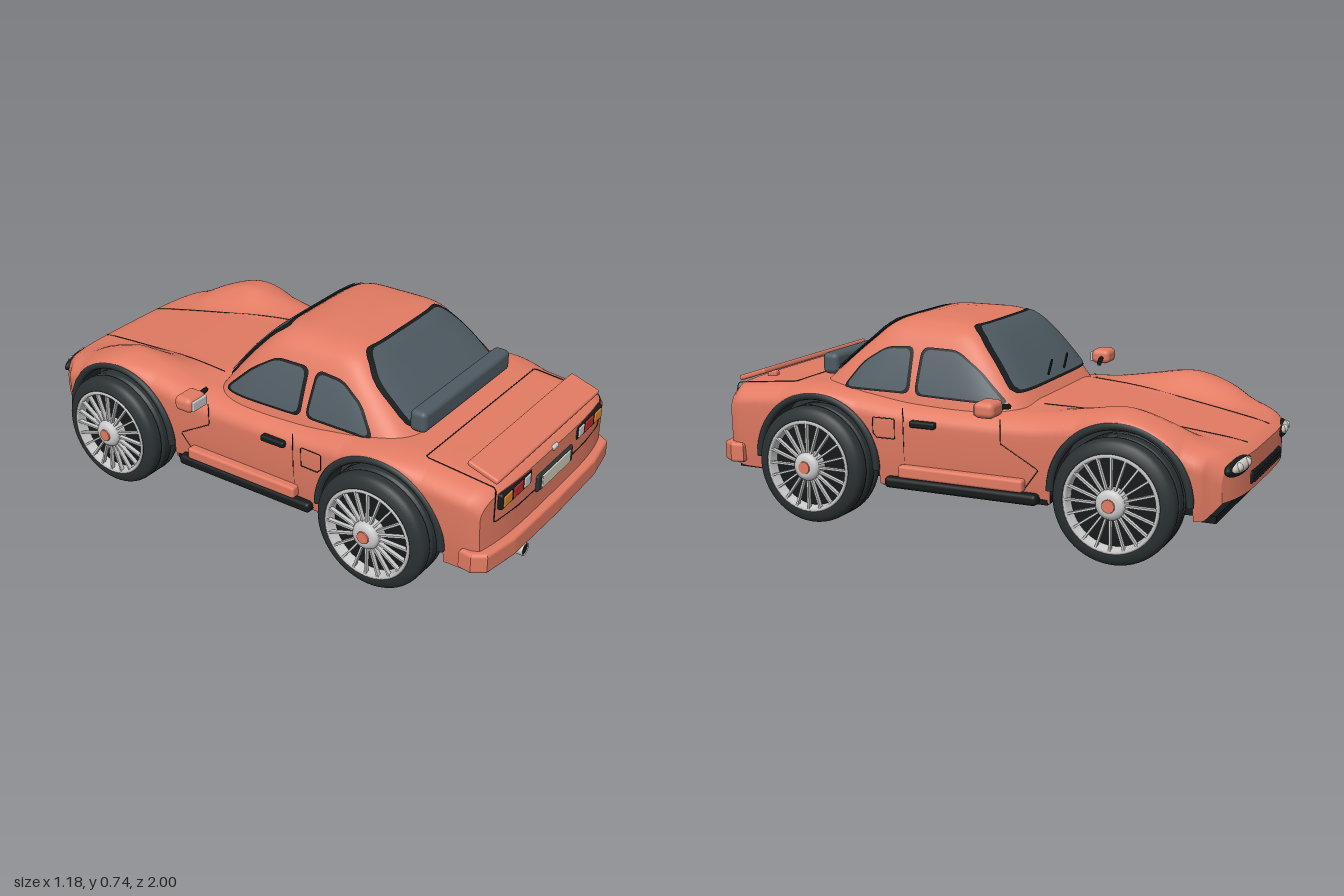
import * as THREE from 'three';
import { RoundedBoxGeometry } from 'three/addons/geometries/RoundedBoxGeometry.js';

const mat = (color, side = THREE.FrontSide) => new THREE.MeshStandardMaterial({ color, side });
const D = THREE.DoubleSide;
const PAINT = mat(0xe27b63, D), DARK = mat(0x2b3234, D), BLACK = mat(0x161a1b, D), GLASS = mat(0x4e5a62, D);
const SILVER = mat(0xbcbcbc, D), CREAM = mat(0xd2cfbc), RED = mat(0xb82e2a), AMBER = mat(0xdd8a28);
const V = (x, y, z) => new THREE.Vector3(x, y, z);
const clamp = THREE.MathUtils.clamp, smooth = THREE.MathUtils.smoothstep;

// Smooth lookup through [key, value] pairs
function curve(p) {
  const slope = i => {
    const a = p[Math.max(i - 1, 0)], b = p[Math.min(i + 1, p.length - 1)];
    return (b[1] - a[1]) / (b[0] - a[0]);
  };
  return k => {
    k = clamp(k, p[0][0], p[p.length - 1][0]);
    let i = 0;
    while (i < p.length - 2 && k > p[i + 1][0]) i++;
    const h = p[i + 1][0] - p[i][0], t = (k - p[i][0]) / h, t2 = t * t, t3 = t2 * t;
    return p[i][1] * (2 * t3 - 3 * t2 + 1) + p[i + 1][1] * (3 * t2 - 2 * t3)
      + h * (slope(i) * (t3 - 2 * t2 + t) + slope(i + 1) * (t3 - t2));
  };
}

// Surface through rows of points
function grid(rows, wrap = false) {
  const n = rows[0].length, idx = [];
  for (let r = 0; r < rows.length - 1; r++) for (let i = 0; i < (wrap ? n : n - 1); i++) {
    const a = r * n + i, b = r * n + (i + 1) % n;
    idx.push(a, b, a + n, b, b + n, a + n);
  }
  const g = new THREE.BufferGeometry().setFromPoints(rows.flat());
  g.setIndex(idx);
  g.computeVertexNormals();
  return g;
}

// Body rules: fender height, centre height, half width and lower edge along z
const fenderY = curve([[-.98, .355], [-.95, .38], [-.85, .41], [-.75, .46], [-.6, .505], [-.45, .488], [-.3, .465], [-.1, .458], [.2, .465], [.4, .487], [.55, .502], [.7, .492], [.85, .477], [.95, .467], [.97, .445]]);
const centreY = curve([[-.98, .355], [-.95, .378], [-.85, .397], [-.7, .42], [-.5, .447], [-.3, .465], [-.2, .475], [.2, .48], [.6, .5], [.75, .486], [.95, .469], [.97, .445]]);
const halfW = curve([[-.98, .4], [-.95, .42], [-.85, .45], [-.7, .46], [-.3, .452], [.2, .455], [.5, .465], [.85, .465], [.95, .46], [.97, .45]]);
const lowY = curve([[-.98, .225], [-.95, .19], [-.88, .165], [.9, .165], [.97, .18]]);
const WHEELS = [-.6, .56], WY = .217, ARCH = .25, CROWN = .34;
const sideX = (z, y) => halfW(z) - .02 * clamp((.4 - y) / .24, 0, 1) ** 2;
const topY = (z, x) => centreY(z) + (fenderY(z) - centreY(z)) * smooth(Math.abs(x), .2, CROWN);
const bend = (x, y, z) => V(x, y, z + .05 * smooth(-z, .86, .98) * (Math.abs(x) / .4) ** 4
  - .035 * smooth(z, .84, .97) * (Math.abs(x) / .46) ** 4);

function halfSection(z) {
  let yb = lowY(z);
  for (const w of WHEELS) if (Math.abs(z - w) <= ARCH + 1e-6)
    yb = WY + Math.sqrt(Math.max(0, ARCH ** 2 - (z - w) ** 2));
  const top = fenderY(z), sh = Math.max(yb + .005, top - .07), pts = [];
  for (let i = 0; i < 10; i++) { const y = yb + (sh - yb) * i / 10; pts.push([sideX(z, y), y]); }
  for (let i = 0; i < 9; i++) {
    const a = i / 9 * Math.PI / 2;
    pts.push([CROWN + (sideX(z, sh) - CROWN) * Math.cos(a), sh + (top - sh) * Math.sin(a)]);
  }
  for (let i = 0; i <= 12; i++) { const x = CROWN * (1 - i / 12); pts.push([x, topY(z, x)]); }
  return pts;
}

// Cabin rules: half width, front and back along y
const cabW = curve([[.44, .4], [.5, .385], [.6, .347], [.66, .318], [.7, .288], [.725, .245], [.735, .2], [.742, .1]]);
const cabF = curve([[.44, -.24], [.5, -.195], [.6, -.115], [.66, -.06], [.7, -.015], [.725, .03], [.735, .08], [.742, .14]]);
const cabB = curve([[.44, .68], [.5, .61], [.6, .5], [.66, .43], [.7, .385], [.725, .345], [.735, .31], [.742, .26]]);
const N = 6, bow = t => Math.max(0, 1 - Math.abs(t) ** N) ** (1 / N);
const mid = y => (cabF(y) + cabB(y)) / 2, len = y => (cabB(y) - cabF(y)) / 2;
const onSide = s => (z, y, o) => V(s * (cabW(y) * bow((z - mid(y)) / len(y)) + o), y, z);
const onEnd = s => (x, y, o) => V(x, y + o * .7, mid(y) + s * (len(y) * bow(x / cabW(y)) + o));

// Rounded polygon filled as rings laid on a surface
function patch(corners, radius, scale, offset, place) {
  const c = corners.map(p => new THREE.Vector2(...p)), n = c.length, path = new THREE.Path();
  c.forEach((p, i) => {
    const toward = q => q.clone().sub(p).setLength(radius).add(p);
    const a = toward(c[(i + n - 1) % n]), b = toward(c[(i + 1) % n]);
    i ? path.lineTo(a.x, a.y) : path.moveTo(a.x, a.y);
    path.quadraticCurveTo(p.x, p.y, b.x, b.y);
  });
  path.closePath();
  const o = path.getSpacedPoints(72), m = c.reduce((s, p) => s.add(p), new THREE.Vector2()).divideScalar(n);
  const rows = [];
  for (let k = 0; k <= 8; k++) rows.push(o.map(p => {
    const q = m.clone().lerp(p, scale * Math.max(k / 8, .001));
    return place(q.x, q.y, offset);
  }));
  return grid(rows);
}

export function createModel() {
  const car = new THREE.Group();
  car.name = 'car';
  const add = (name, geo, m, x = 0, y = 0, z = 0, parent = car) => {
    const mesh = new THREE.Mesh(geo, m);
    mesh.name = name;
    mesh.position.set(x, y, z);
    parent.add(mesh);
    return mesh;
  };
  const box = (name, w, h, d, m, x, y, z, r = .008) => add(name, new RoundedBoxGeometry(w, h, d, 3, Math.min(r, w / 2.1, h / 2.1, d / 2.1)), m, x, y, z);
  const line = (name, pts, m = BLACK, r = .0018) => {
    const path = new THREE.CurvePath();
    for (let i = 1; i < pts.length; i++) path.add(new THREE.LineCurve3(pts[i - 1], pts[i]));
    return add(name, new THREE.TubeGeometry(path, pts.length * 8, r, 5), m);
  };

  // Body shell, with extra stations round the wheel arches
  const zs = [];
  for (let i = 0; i <= 78; i++) zs.push(-.98 + 1.95 * i / 78);
  for (const w of WHEELS) {
    for (let i = 0; i <= 32; i++) zs.push(w + ARCH * Math.cos(i / 32 * Math.PI));
    zs.push(w - ARCH - .001, w + ARCH + .001);
  }
  zs.sort((a, b) => a - b);
  add('bodyShell', grid(zs.map(z => {
    const h = halfSection(z);
    return [...h, ...h.slice(0, -1).reverse().map(([x, y]) => [-x, y])].map(([x, y]) => bend(x, y, z));
  })), PAINT);
  for (const [name, z] of [['nosePanel', -.98], ['tailPanel', .97]])
    add(name, grid(halfSection(z).map(([x, y]) => Array.from({ length: 25 }, (_, k) => bend(x * (z < 0 ? k - 12 : 12 - k) / -12, y, z)))), PAINT);

  // Floor
  add('floor', new THREE.BoxGeometry(.66, .03, 1.82), BLACK, 0, .168, .005);
  for (const [z0, z1, w] of [[-.34, .3, .87], [.815, .92, .86], [-.92, -.855, .8]])
    add('floorPan', new THREE.BoxGeometry(w, .026, z1 - z0), BLACK, 0, .17, (z0 + z1) / 2);

  // Cabin
  const rings = [];
  for (let i = 0; i <= 30; i++) {
    const y = .44 + .302 * (1 - (1 - i / 30) ** 1.7);
    rings.push(Array.from({ length: 96 }, (_, k) => {
      const a = k / 96 * Math.PI * 2, c = Math.cos(a), s = -Math.sin(a), f = v => Math.sign(v) * Math.abs(v) ** (2 / N);
      return V(cabW(y) * f(c), y, mid(y) + len(y) * f(s));
    }));
  }
  rings.push(rings[30].map(() => V(0, .744, .2)));
  add('cabin', grid(rings, true), PAINT);

  // Windows with dark frames
  const glaze = (name, pts, r, place, k = .93) => {
    add(name + 'Frame', patch(pts, r, 1, .005, place), BLACK);
    add(name, patch(pts, r, k, .009, place), GLASS);
  };
  glaze('windshield', [[-.335, .505], [.335, .505], [.29, .66], [.245, .722], [-.245, .722], [-.29, .66]], .03, onEnd(-1), .95);
  glaze('rearWindow', [[-.305, .515], [.305, .515], [.298, .64], [.235, .722], [-.235, .722], [-.298, .64]], .035, onEnd(1), .95);
  for (const s of [1, -1]) {
    glaze('quarterWindow', [[.49, .488], [.42, .585], [.33, .643], [.22, .65], [.212, .488]], .03, onSide(s), .9);
    glaze('doorWindow', [[.193, .485], [.19, .65], [.05, .648], [-.05, .585], [-.165, .477]], .03, onSide(s), .91);
  }
  for (const x of [-.07, .08]) line('wiper', [onEnd(-1)(x, .525, .016), onEnd(-1)(x - .1, .56, .016)], BLACK, .004);
  box('parcelShelf', .59, .08, .065, GLASS, 0, .55, .6, .02);

  // Tail: spoiler, bumper, lamps, plate, exhaust
  box('spoiler', .745, .02, .12, PAINT, 0, .499, .895).rotation.x = .32;
  for (const x of [-.25, .25]) box('spoilerFoot', .03, .03, .04, PAINT, x, .482, .88);
  const plan = new THREE.Shape([[-.46, .89], [-.465, .925], [-.44, .962], [-.3, .985], [0, .99], [.3, .985], [.44, .962], [.465, .925], [.46, .89]].map(p => new THREE.Vector2(...p)));
  add('rearBumper', new THREE.ExtrudeGeometry(plan, { depth: .05, bevelSize: .012, bevelThickness: .012, bevelSegments: 4 }).rotateX(Math.PI / 2), PAINT, 0, .243, 0);
  box('plateFrame', .26, .064, .02, DARK, 0, .359, .97);
  box('plate', .21, .05, .02, CREAM, 0, .359, .974, .003);
  box('bootButton', .04, .018, .016, SILVER, 0, .443, .968);
  for (const s of [1, -1]) {
    box('tailLampFrame', .208, .06, .03, BLACK, s * .267, .411, .957, .01);
    for (const [x, w, m] of [[.332, .058, AMBER], [.262, .066, RED], [.2, .044, SILVER]])
      box('tailLamp', w, .042, .03, m, s * x, .411, .961, .006);
  }
  const pipe = [[0, 0], [.015, 0], [.019, .004], [.019, .092], [.024, .092], [.024, 0], [.015, 0]].map(p => new THREE.Vector2(...p));
  add('exhaust', new THREE.LatheGeometry(pipe, 24).rotateX(Math.PI / 2), SILVER, -.215, .155, .9);
  add('exhaustBore', new THREE.CircleGeometry(.02, 24), BLACK, -.215, .155, .99);

  // Nose: grille and headlamps
  box('grille', .4, .048, .03, BLACK, 0, .268, -.972, .014);
  for (let i = 0; i < 3; i++) box('grilleBar', .37, .004, .006, DARK, 0, .256 + .012 * i, -.988, .002);
  for (let i = -8; i <= 8; i++) box('grilleRib', .004, .036, .006, DARK, i * .022, .268, -.987, .002);
  const ball = new THREE.SphereGeometry(1, 28, 18);
  for (const s of [1, -1]) {
    const lamp = new THREE.Group();
    lamp.name = 'headlamp';
    lamp.position.set(s * .295, .333, -.958);
    lamp.rotation.set(.3, s * -.13, 0);
    car.add(lamp);
    add('headlampFrame', ball, BLACK, 0, 0, 0, lamp).scale.set(.1, .031, .024);
    add('headlampGlass', ball, CREAM, 0, 0, -.005, lamp).scale.set(.088, .024, .023);
    for (const x of [-.035, .035]) add('headlampBulb', ball, SILVER, x, 0, -.02, lamp).scale.set(.018, .015, .012);
  }

  // Sides: sills, handles, mirrors and panel seams
  for (const s of [1, -1]) {
    box('sill', .05, .04, .59, BLACK, s * .445, .176, -.015, .015);
    box('sillStrip', .04, .045, .48, PAINT, s * .456, .222, -.02, .01);
    box('doorHandle', .03, .024, .1, BLACK, s * .457, .398, .125);
    const onBody = (z, y, o = 0) => V(s * (sideX(z, y) + o), y, z);
    const seam = (name, pts) => line(name, pts.map(p => onBody(...p)));
    seam('doorSeamRear', [[.205, .45], [.205, .33], [.205, .2]]);
    seam('doorSeamFront', [[-.17, .445], [-.17, .36], [-.31, .28], [-.25, .2]]);
    seam('fuelFlap', [[.24, .335], [.31, .335], [.325, .35], [.325, .408], [.24, .408], [.24, .335]]);
    line('mirrorArm', [V(s * .43, .488, -.195), V(s * .51, .498, -.175)], BLACK, .01);
    box('mirrorHousing', .095, .056, .075, PAINT, s * .545, .502, -.17, .02);
    box('mirrorGlass', .076, .038, .012, SILVER, s * .541, .5, -.134, .005);
    const onTop = (x, z) => V(s * x, topY(z, x) + .0005, z);
    line('hoodSeam', Array.from({ length: 12 }, (_, i) => onTop(.15 + .105 * i / 11, -.95 + .7 * i / 11)));
    line('bootSeam', [onTop(0, .69), onTop(.2, .69), onTop(.3, .69), onTop(.38, .69), onTop(.38, .8), onTop(.38, .95),
      bend(s * .385, .44, .971), bend(s * .385, .34, .971), V(s * .25, .34, .969), V(0, .34, .971)]);
  }

  // Wheels and wheel wells
  const ring = p => new THREE.LatheGeometry(p.map(q => new THREE.Vector2(...q)), 56);
  const tread = [];
  for (let i = 0; i <= 32; i++) {
    const t = i / 16 - 1;
    tread.push([.216 - .022 * t ** 8 - (Math.abs(Math.abs(t) - .35) < .04 ? .008 : 0), .08 * t]);
  }
  const tyre = ring([[.16, -.075], [.175, -.0875], ...tread, [.175, .0875], [.168, .084], [.166, .05]]);
  const rim = ring([[.15, .04], [.155, .084], [.162, .09], [.169, .086], [.169, .04]]);
  const hub = ring([[.052, .05], [.052, .088], [.045, .1], [.03, .106], [0, .106]]);
  const spoke = new THREE.BoxGeometry(.115, .016, .007);
  for (const s of [1, -1]) for (const z of WHEELS) {
    const wheel = new THREE.Group();
    wheel.name = z < 0 ? 'frontWheel' : 'rearWheel';
    wheel.position.set(s * .4425, WY, z);
    wheel.rotation.z = -s * Math.PI / 2;
    car.add(wheel);
    add('tyre', tyre, DARK, 0, 0, 0, wheel);
    add('rim', rim, SILVER, 0, 0, 0, wheel);
    add('brakeDisc', new THREE.CylinderGeometry(.166, .166, .1, 40), BLACK, 0, 0, 0, wheel);
    add('hub', hub, SILVER, 0, 0, 0, wheel);
    add('hubCap', new THREE.CylinderGeometry(.022, .024, .006, 20), PAINT, 0, .107, 0, wheel);
    for (let i = 0; i < 20; i++) {
      const a = i / 20 * Math.PI * 2;
      add('spoke', spoke, SILVER, Math.cos(a) * .102, .08, Math.sin(a) * .102, wheel).rotation.y = -a;
    }
    add('wheelWell', new THREE.CylinderGeometry(ARCH, ARCH, .13, 48, 1, true, 0, Math.PI).rotateZ(Math.PI / 2), DARK, s * .392, WY, z);
    add('wheelWellWall', new THREE.CircleGeometry(ARCH, 48, 0, Math.PI).rotateY(Math.PI / 2), DARK, s * .328, WY, z);
    add('archTrim', new THREE.TorusGeometry(ARCH - .004, .014, 8, 48, Math.PI).rotateY(Math.PI / 2), DARK, s * (halfW(z) - .006), WY, z);
  }
  return car;
}
